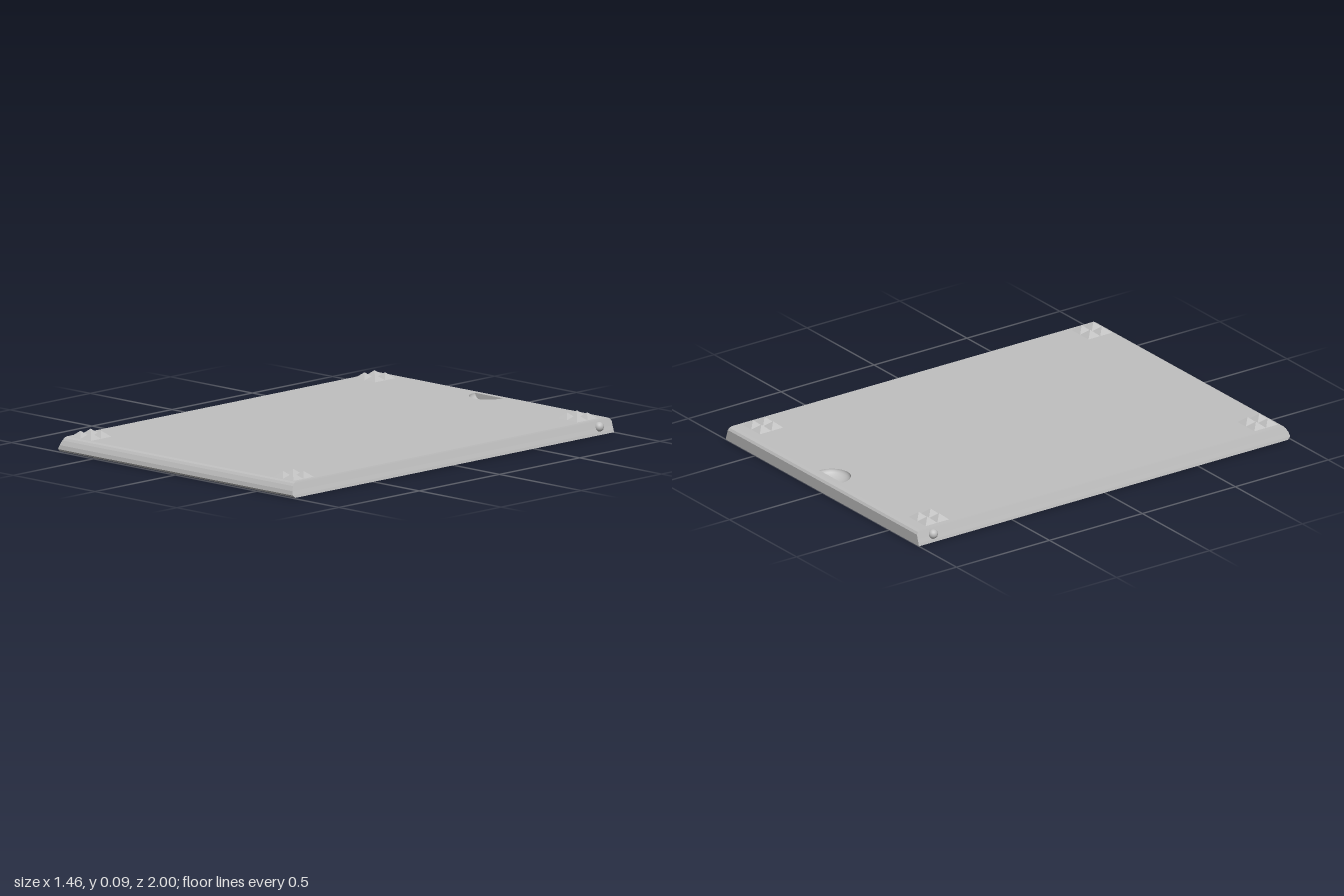
import * as THREE from 'three';

const TOP = 0.066, CEILING = 0.05;

// Non-indexed geometry from a list of quads / convex polygons, flat normals
function polygons(list) {
  const pos = [];
  for (const p of list)
    for (let i = 1; i < p.length - 1; i++) pos.push(...p[0], ...p[i], ...p[i + 1]);
  const g = new THREE.BufferGeometry();
  g.setAttribute('position', new THREE.Float32BufferAttribute(pos, 3));
  g.computeVertexNormals();
  return g;
}

// Keep the part of a convex polygon where s * p[axis] <= limit
function clip(poly, axis, s, limit) {
  const out = [];
  poly.forEach((p, i) => {
    const q = poly[(i + 1) % poly.length];
    const a = limit - s * p[axis], b = limit - s * q[axis];
    if (a >= 0) out.push(p);
    if (a * b < 0) {
      const t = a / (a - b);
      out.push([p[0] + (q[0] - p[0]) * t, p[1] + (q[1] - p[1]) * t]);
    }
  });
  return out;
}

// Staggered hexagons trimmed to a rectangle, as [x, z] loops
function honeycomb(halfX, halfZ, pitch, radius) {
  const cells = [];
  const step = pitch * Math.sqrt(3) / 2;
  for (let r = -6; r <= 6; r++)
    for (let c = -4; c <= 4; c++) {
      const cx = (c + (r % 2 ? 0.5 : 0)) * pitch, cz = r * step;
      let poly = [];
      for (let k = 0; k < 6; k++) {
        const a = Math.PI / 6 + k * Math.PI / 3;
        poly.push([cx + radius * Math.cos(a), cz + radius * Math.sin(a)]);
      }
      for (const [axis, limit] of [[0, halfX], [1, halfZ]])
        for (const s of [1, -1]) poly = clip(poly, axis, s, limit);
      if (poly.length < 3) continue;
      const area = THREE.ShapeUtils.area(poly.map(p => new THREE.Vector2(...p)));
      if (area > 0.001) cells.push(poly);
    }
  return cells;
}

export function createModel() {
  const model = new THREE.Group();
  const grey = new THREE.MeshStandardMaterial({ color: 0xc0c0c0 });
  grey.name = 'grey';
  const inside = new THREE.MeshStandardMaterial({ color: 0xc0c0c0, side: THREE.DoubleSide });
  inside.name = 'grey two-sided';
  const add = (name, geometry, material = grey, parent = model) => {
    const m = new THREE.Mesh(geometry, material);
    m.name = name;
    parent.add(m);
    return m;
  };

  // Tapered rim: height, half width, front z, back z
  const levels = [
    [0, 0.72, 0.985, -1], [0.012, 0.717, 1, -1], [0.03, 0.711, 0.996, -1],
    [0.05, 0.705, 0.985, -1], [0.06, 0.702, 0.976, -0.993], [TOP, 0.7, 0.965, -0.98],
  ];
  const rings = levels.map(([y, w, f, b]) => [[-w, y, f], [w, y, f], [w, y, b], [-w, y, b]]);
  const rimQuads = [];
  for (let l = 0; l < rings.length - 1; l++)
    for (let i = 0; i < 4; i++) {
      const j = (i + 1) % 4;
      rimQuads.push([rings[l][i], rings[l][j], rings[l + 1][j], rings[l + 1][i]]);
    }
  add('rim', polygons(rimQuads));

  // Top panel with a half-round opening for the finger scoop
  const scoop = { z: -0.955, rx: 0.085, rz: 0.09, depth: 0.04 };
  const topShape = new THREE.Shape(rings.at(-1).map(([x, , z]) => new THREE.Vector2(x, -z)));
  const arc = [];
  for (let i = 0; i <= 24; i++) {
    const a = i / 24 * Math.PI;
    arc.push(new THREE.Vector2(scoop.rx * Math.cos(a), -scoop.z - scoop.rz * Math.sin(a)));
  }
  topShape.holes.push(new THREE.Path(arc));
  add('topPanel', new THREE.ShapeGeometry(topShape).rotateX(-Math.PI / 2).translate(0, TOP, 0));

  // Scoop bowl and its straight back wall
  const bowl = new THREE.SphereGeometry(1, 24, 8, 0, Math.PI, Math.PI / 2, Math.PI / 2);
  add('scoopBowl', bowl.scale(scoop.rx, scoop.depth, scoop.rz).translate(0, TOP, scoop.z), inside);
  const wall = new THREE.CircleGeometry(1, 24, Math.PI, Math.PI);
  add('scoopWall', wall.scale(scoop.rx, scoop.depth, 1).translate(0, TOP, scoop.z), inside);

  // Underside with honeycomb pockets
  const cells = honeycomb(0.56, 0.81, 0.2, 0.097);
  const base = new THREE.Shape(rings[0].map(([x, , z]) => new THREE.Vector2(x, z)));
  for (const cell of cells)
    base.holes.push(new THREE.Path(cell.map(p => new THREE.Vector2(...p))));
  add('underside', new THREE.ShapeGeometry(base).rotateX(Math.PI / 2));
  const pocketFaces = [];
  for (const cell of cells) {
    cell.forEach(([x, z], i) => {
      const [u, v] = cell[(i + 1) % cell.length];
      pocketFaces.push([[x, 0, z], [u, 0, v], [u, CEILING, v], [x, CEILING, z]]);
    });
    pocketFaces.push(cell.map(([x, z]) => [x, CEILING, z]));
  }
  add('honeycombPockets', polygons(pocketFaces));

  // Corner grips: two by two pyramids
  const size = 0.063, height = 0.027;
  const pyramid = new THREE.ConeGeometry(size / Math.SQRT2, height, 4, 1, true)
    .rotateY(Math.PI / 4).toNonIndexed();
  pyramid.computeVertexNormals();
  for (const x of [-0.618, 0.618])
    for (const z of [-0.873, 0.896]) {
      const grip = new THREE.Group();
      grip.name = 'cornerGrip';
      grip.position.set(x, TOP + height / 2, z);
      for (const i of [-0.5, 0.5])
        for (const k of [-0.5, 0.5])
          add('gripPyramid', pyramid, grey, grip).position.set(i * size, 0, k * size);
      model.add(grip);
    }

  // Hinge balls on both sides near the back
  for (const s of [-1, 1])
    add('hingeBall', new THREE.SphereGeometry(0.022, 20, 14)).position.set(s * 0.709, 0.035, -0.917);

  return model;
}
